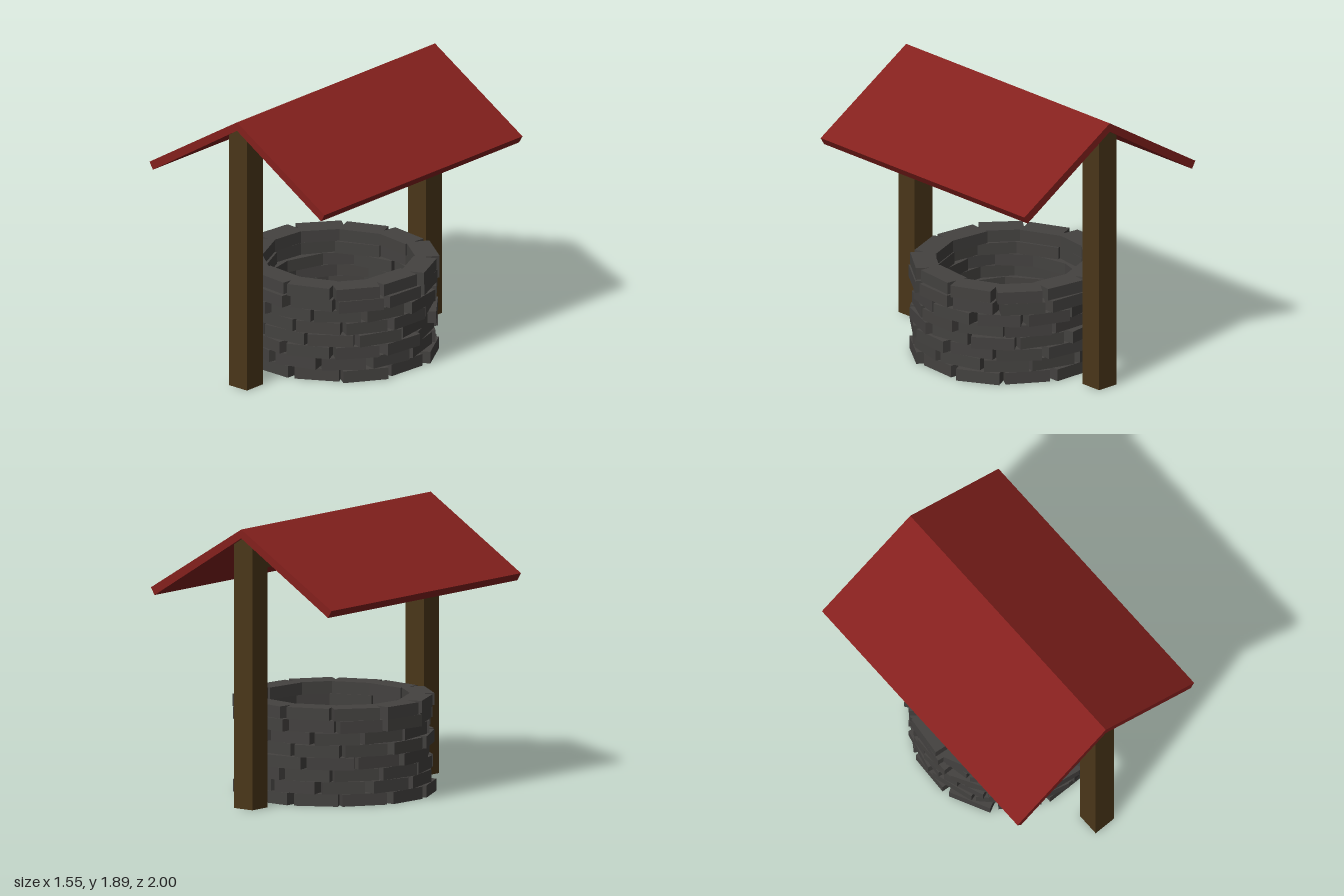
import * as THREE from 'three';

const mat = (color, side = THREE.FrontSide) =>
  new THREE.MeshStandardMaterial({ color, side, flatShading: true });

// Small seeded generator returning values in -1..1
function seeded(seed) {
  return () => {
    seed = (seed * 1664525 + 1013904223) % 4294967296;
    return (seed / 4294967296) * 2 - 1;
  };
}

// Extrude an x/y outline along z, centred on the given z
function extrudeZ(points, depth, z, material, name) {
  const shape = new THREE.Shape(points.map(([x, y]) => new THREE.Vector2(x, y)));
  const geo = new THREE.ExtrudeGeometry(shape, { depth, bevelEnabled: false });
  geo.translate(0, 0, z - depth / 2);
  const mesh = new THREE.Mesh(geo, material);
  mesh.name = name;
  return mesh;
}

export function createModel() {
  const model = new THREE.Group();
  model.name = 'well';
  const stone = mat(0x444240);
  const wood = mat(0x4a3619);
  const red = mat(0x84201d);

  // Stone wall: eight courses of twelve uneven blocks
  const wall = new THREE.Group();
  wall.name = 'stoneWall';
  wall.position.z = -0.02;
  const rnd = seeded(7);
  const courses = 8, perCourse = 12, height = 0.66 / courses;
  const step = (Math.PI * 2) / perCourse;
  const seams = [13, 0, 8, 22, 14, -4, 10, 8]; // joint nearest the front, degrees
  const block = new THREE.BoxGeometry(0.3, height, 0.16);
  for (let c = 0; c < courses; c++) {
    const course = new THREE.Group();
    course.name = `course${c + 1}`;
    for (let i = 0; i < perCourse; i++) {
      const angle = THREE.MathUtils.degToRad(seams[c]) + (i + 0.5) * step;
      const r = 0.56 + rnd() * 0.022;
      const mesh = new THREE.Mesh(block, stone);
      mesh.name = 'stoneBlock';
      mesh.position.set(Math.sin(angle) * r, (c + 0.5) * height, Math.cos(angle) * r);
      mesh.rotation.y = angle + rnd() * 0.04;
      mesh.scale.x = 1 + rnd() * 0.05;
      course.add(mesh);
    }
    wall.add(course);
  }
  model.add(wall);

  // Disc closing the bottom of the shaft
  const floor = new THREE.Mesh(new THREE.CircleGeometry(0.54, 32), mat(0xcccccc, THREE.DoubleSide));
  floor.name = 'shaftFloor';
  floor.rotation.x = -Math.PI / 2;
  floor.position.set(0, 0.05, -0.02);
  model.add(floor);

  // Posts and ridge beam share a peaked top that meets the roof
  const peaked = (bottom) => [[-0.08, bottom], [0.08, bottom], [0.08, 1.78], [0, 1.83], [-0.08, 1.78]];
  model.add(extrudeZ(peaked(0), 0.16, 0.91, wood, 'frontPost'));
  model.add(extrudeZ(peaked(0), 0.16, -0.9, wood, 'backPost'));
  model.add(extrudeZ(peaked(1.62), 1.65, 0.005, wood, 'ridgeBeam'));

  // Gabled roof
  const gable = [[0, 1.89], [-0.775, 1.42], [-0.745, 1.37], [0, 1.83], [0.745, 1.37], [0.775, 1.42]];
  model.add(extrudeZ(gable, 2, 0, red, 'roof'));

  return model;
}
